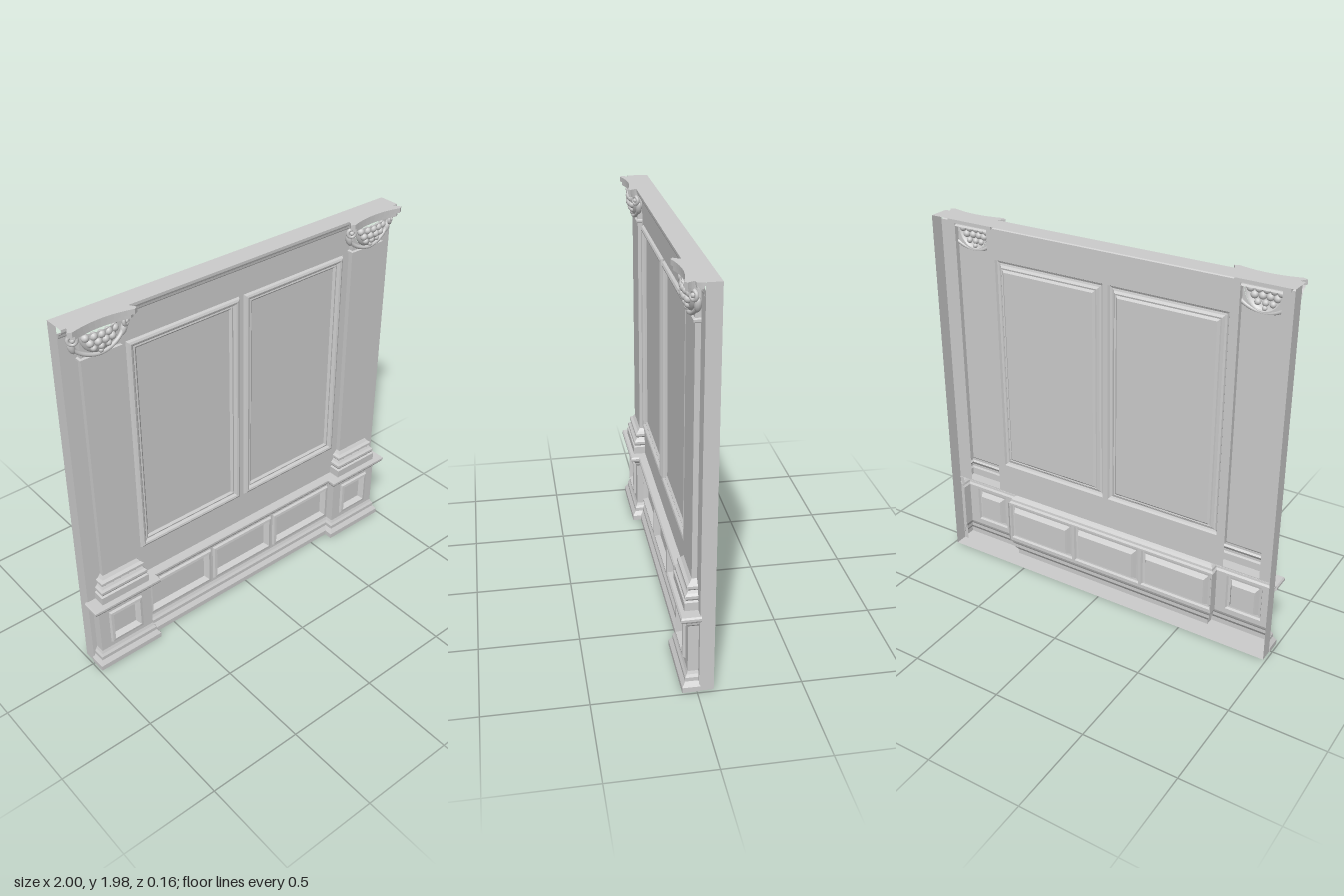
import * as THREE from 'three';

const material = new THREE.MeshStandardMaterial({ color: 0xcccccc, side: THREE.DoubleSide });
const BACK = -0.08, WALL = -0.01, DADO = -0.005, PED = 0.04, SHAFT = 0.015, RIM = 0.985, TOP = 1.98;

function add(parent, name, geometry, x = 0, y = 0, z = 0) {
  const mesh = new THREE.Mesh(geometry, material);
  mesh.name = name;
  mesh.position.set(x, y, z);
  parent.add(mesh);
  return mesh;
}

// flat-shaded surface from a list of four-cornered faces
function quads(faces) {
  const p = [];
  for (const [a, b, c, d] of faces) p.push(...a, ...b, ...c, ...a, ...c, ...d);
  const g = new THREE.BufferGeometry();
  g.setAttribute('position', new THREE.Float32BufferAttribute(p, 3));
  g.computeVertexNormals();
  return g;
}

// moulding: profile of [offset, y] carried along a plan path of [x, z] with mitred corners
function moulding(path, profile) {
  const normal = (a, b) => {
    const dx = b[0] - a[0], dz = b[1] - a[1], l = Math.hypot(dx, dz);
    return [-dz / l, dx / l];
  };
  const miter = path.map((p, i) => {
    const n1 = normal(path[Math.max(i - 1, 0)], path[Math.max(i, 1)]);
    const n2 = i < path.length - 1 ? normal(p, path[i + 1]) : n1;
    const k = 1 + n1[0] * n2[0] + n1[1] * n2[1];
    return [(n1[0] + n2[0]) / k, (n1[1] + n2[1]) / k];
  });
  const at = (i, j) => [path[i][0] + miter[i][0] * profile[j][0], profile[j][1], path[i][1] + miter[i][1] * profile[j][0]];
  const faces = [];
  for (let i = 0; i < path.length - 1; i++)
    for (let j = 0; j < profile.length - 1; j++)
      faces.push([at(i, j), at(i + 1, j), at(i + 1, j + 1), at(i, j + 1)]);
  return quads(faces);
}

// nested rectangular steps [inset, z] closed by a flat field
function panel([x0, x1, y0, y1], steps) {
  const loops = steps.map(([s, z]) => [[x0 + s, y0 + s, z], [x1 - s, y0 + s, z], [x1 - s, y1 - s, z], [x0 + s, y1 - s, z]]);
  const faces = [loops[loops.length - 1]];
  for (let k = 0; k < loops.length - 1; k++)
    for (let i = 0; i < 4; i++) {
      const n = (i + 1) % 4;
      faces.push([loops[k][i], loops[k][n], loops[k + 1][n], loops[k + 1][i]]);
    }
  return quads(faces);
}

const rect = (T, [x0, x1, y0, y1]) => new T([[x0, y0], [x1, y0], [x1, y1], [x0, y1]].map(p => new THREE.Vector2(...p)));

// flat sheet with rectangular openings
function sheet(bounds, holes = []) {
  const s = rect(THREE.Shape, bounds);
  holes.forEach(h => s.holes.push(rect(THREE.Path, h)));
  return new THREE.ShapeGeometry(s);
}

const frameSteps = z => [[0, z], [0.006, z + 0.012], [0.02, z + 0.014], [0.03, z - 0.004], [0.036, z - 0.014]];

function buildPedestal(g) {
  const p = [-0.1, 0.1, 0.13, 0.335];
  add(g, 'pedestalFace', sheet([-0.1575, 0.1575, 0.1, 0.35], [p]), 0, 0, PED);
  add(g, 'pedestalPanel', panel(p, frameSteps(PED)));
  for (const s of [-1, 1]) {
    const x = s * 0.1575, back = WALL - 0.005;
    add(g, 'pedestalSide', quads([[[x, 0.1, back], [x, 0.1, PED], [x, 0.35, PED], [x, 0.35, back]]]));
  }
  add(g, 'pedestalTop', quads([[[-0.155, 0.42, 0.036], [0.155, 0.42, 0.036], [0.155, 0.42, WALL], [-0.155, 0.42, WALL]]]));
}

function buildPilaster(g) {
  const path = [[-0.1, WALL], [-0.1, SHAFT], [0.1, SHAFT], [0.1, WALL]];
  add(g, 'pilasterBase', moulding(path, [[0.04, 0.42], [0.04, 0.462], [0.03, 0.468], [0.036, 0.478], [0.036, 0.492],
    [0.026, 0.502], [0.018, 0.515], [0.026, 0.524], [0.026, 0.538], [0.012, 0.548], [0, 0.565]]));
  // shaft front, opened behind the capital's basket
  const front = rect(THREE.Shape, [-0.1, 0.1, 0.56, 1.95]);
  const hole = new THREE.Path();
  hole.absellipse(0, 1.925, 0.095, 0.115, Math.PI, Math.PI * 2, false);
  hole.closePath();
  front.holes.push(hole);
  add(g, 'pilasterShaft', new THREE.ShapeGeometry(front, 12), 0, 0, SHAFT);
  for (const s of [-1, 1])
    add(g, 'pilasterSide', quads([[[s * 0.1, 0.56, WALL], [s * 0.1, 0.56, SHAFT], [s * 0.1, 1.95, SHAFT], [s * 0.1, 1.95, WALL]]]));
  add(g, 'neckBand', moulding(path, [[0, 1.785], [0.009, 1.79], [0.009, 1.8], [0, 1.805]]));
}

function buildCapital(g) {
  // half-round basket
  const basket = new THREE.SphereGeometry(1, 24, 10, 0, Math.PI, Math.PI / 2, Math.PI / 2);
  basket.scale(0.098, 0.118, 0.035);
  add(g, 'basket', basket, 0, 1.925, SHAFT);
  // fruit in rows
  for (const [count, y, r, z] of [[5, 1.905, 0.019, 0.043], [4, 1.875, 0.019, 0.043], [3, 1.845, 0.016, 0.036], [1, 1.822, 0.013, 0.03]])
    for (let i = 0; i < count; i++) {
      const x = (i - (count - 1) / 2) * 0.037;
      add(g, 'fruit', new THREE.SphereGeometry(r, 12, 8), x, y, z - x * x * 2);
    }
  // hanging garland around the basket
  const swag = new THREE.CatmullRomCurve3([[-0.14, 1.9], [-0.115, 1.85], [-0.06, 1.815], [0, 1.803], [0.06, 1.815], [0.115, 1.85], [0.14, 1.9]]
    .map(([x, y]) => new THREE.Vector3(x, y, 0.024 - x * x * 0.7)));
  add(g, 'garland', new THREE.TubeGeometry(swag, 32, 0.01, 8));
  // corner scrolls with leaves
  for (const s of [-1, 1]) {
    add(g, 'scroll', new THREE.TorusGeometry(0.02, 0.009, 8, 18), s * 0.135, 1.915, 0.03).rotation.y = s * 0.5;
    add(g, 'scrollEye', new THREE.SphereGeometry(0.012, 10, 8), s * 0.135, 1.915, 0.032);
    const leaf = add(g, 'leaf', new THREE.SphereGeometry(1, 10, 8), s * 0.133, 1.872, 0.012);
    leaf.scale.set(0.016, 0.035, 0.016);
    leaf.rotation.z = -s * 0.35;
  }
  // abacus with hollow front and sides
  const slab = k => {
    const s = new THREE.Shape();
    s.moveTo(-0.15 * k, 0.015);
    s.lineTo(0.15 * k, 0.015);
    s.quadraticCurveTo(0.145 * k, -0.03, 0.175 * k, -0.062 * k);
    s.lineTo(0.155 * k, -0.073 * k);
    s.quadraticCurveTo(0, -0.025, -0.155 * k, -0.073 * k);
    s.lineTo(-0.175 * k, -0.062 * k);
    s.quadraticCurveTo(-0.145 * k, -0.03, -0.15 * k, 0.015);
    return s;
  };
  for (const [k, y, h] of [[0.9, 1.937, 0.018], [1, 1.955, TOP - 1.955]]) {
    const geo = new THREE.ExtrudeGeometry(slab(k), { depth: h, bevelEnabled: false, curveSegments: 10 });
    geo.rotateX(-Math.PI / 2);
    add(g, 'abacus', geo, 0, y, 0);
  }
}

export function createModel() {
  const model = new THREE.Group();
  model.name = 'wallPanelling';

  // upper wall with two framed panels
  const bigPanels = [[-0.655, -0.015, 0.595, 1.785], [0.015, 0.655, 0.595, 1.785]];
  const shaftHoles = [-0.8, 0.8].map(x => [x - 0.1, x + 0.1, 0.425, 1.935]);
  add(model, 'upperWall', sheet([-RIM, RIM, 0.42, 1.945], [...bigPanels, ...shaftHoles]), 0, 0, WALL);
  for (const b of bigPanels)
    add(model, 'wallPanel', panel(b, [[0, WALL], [0.006, 0.002], [0.016, 0.007], [0.026, 0.004], [0.036, -0.008], [0.044, -0.006], [0.055, -0.016]]));

  // dado with three framed panels
  const dadoPanels = [[-0.635, -0.22, 0.12, 0.34], [-0.205, 0.205, 0.12, 0.34], [0.22, 0.635, 0.12, 0.34]];
  add(model, 'dado', sheet([-0.645, 0.645, 0.1, 0.35], dadoPanels), 0, 0, DADO);
  for (const b of dadoPanels) add(model, 'dadoPanel', panel(b, frameSteps(DADO)));
  for (const s of [-1, 1])
    add(model, 'outerStrip', sheet([0.96, RIM, 0, 0.42]), s < 0 ? -0.96 - RIM : 0, 0, WALL);

  // plinth and ledge break forward around the pedestals
  const plan = [[-0.96, -0.015], [-0.96, PED], [-0.645, PED], [-0.645, DADO], [0.645, DADO], [0.645, PED], [0.96, PED], [0.96, -0.015]];
  add(model, 'plinth', moulding(plan, [[0.03, 0], [0.03, 0.028], [0.022, 0.04], [0.014, 0.052], [0.014, 0.072], [0.006, 0.085], [0, 0.1]]));
  add(model, 'ledge', moulding(plan, [[0, 0.35], [0.008, 0.36], [0.01, 0.372], [0.02, 0.384], [0.036, 0.392], [0.04, 0.4], [0.04, 0.412], [0.034, 0.42], [-0.005, 0.42]]));

  // cornice
  add(model, 'cornice', moulding([[-RIM, WALL], [RIM, WALL]],
    [[0, 1.92], [0.008, 1.928], [0.01, 1.94], [0.022, 1.95], [0.034, 1.956], [0.038, 1.966], [0.038, TOP]]));

  // outer rim, open at the back
  for (const s of [-1, 1]) {
    const x = s * RIM;
    add(model, 'sideRim', quads([[[x, 0, BACK], [x, 0, WALL], [x, TOP, WALL], [x, TOP, BACK]]]));
  }
  add(model, 'topRim', quads([[[-RIM, TOP, 0.028], [RIM, TOP, 0.028], [RIM, TOP, BACK], [-RIM, TOP, BACK]]]));
  const foot = new THREE.Shape([[-RIM, BACK], [RIM, BACK], [RIM, WALL], [0.99, WALL], [0.99, 0.07], [0.615, 0.07], [0.615, 0.025],
    [-0.615, 0.025], [-0.615, 0.07], [-0.99, 0.07], [-0.99, WALL], [-RIM, WALL]].map(p => new THREE.Vector2(...p)));
  add(model, 'bottomRim', new THREE.ShapeGeometry(foot)).rotation.x = Math.PI / 2;

  // pedestal, pilaster and capital on each side
  for (const s of [-1, 1]) {
    const parts = [['pedestal', 0.8025, buildPedestal], ['pilaster', 0.8, buildPilaster], ['capital', 0.805, buildCapital]];
    for (const [name, x, build] of parts) {
      const g = new THREE.Group();
      g.name = (s > 0 ? 'left ' : 'right ') + name;
      g.position.x = s * x;
      build(g);
      model.add(g);
    }
  }
  return model;
}
